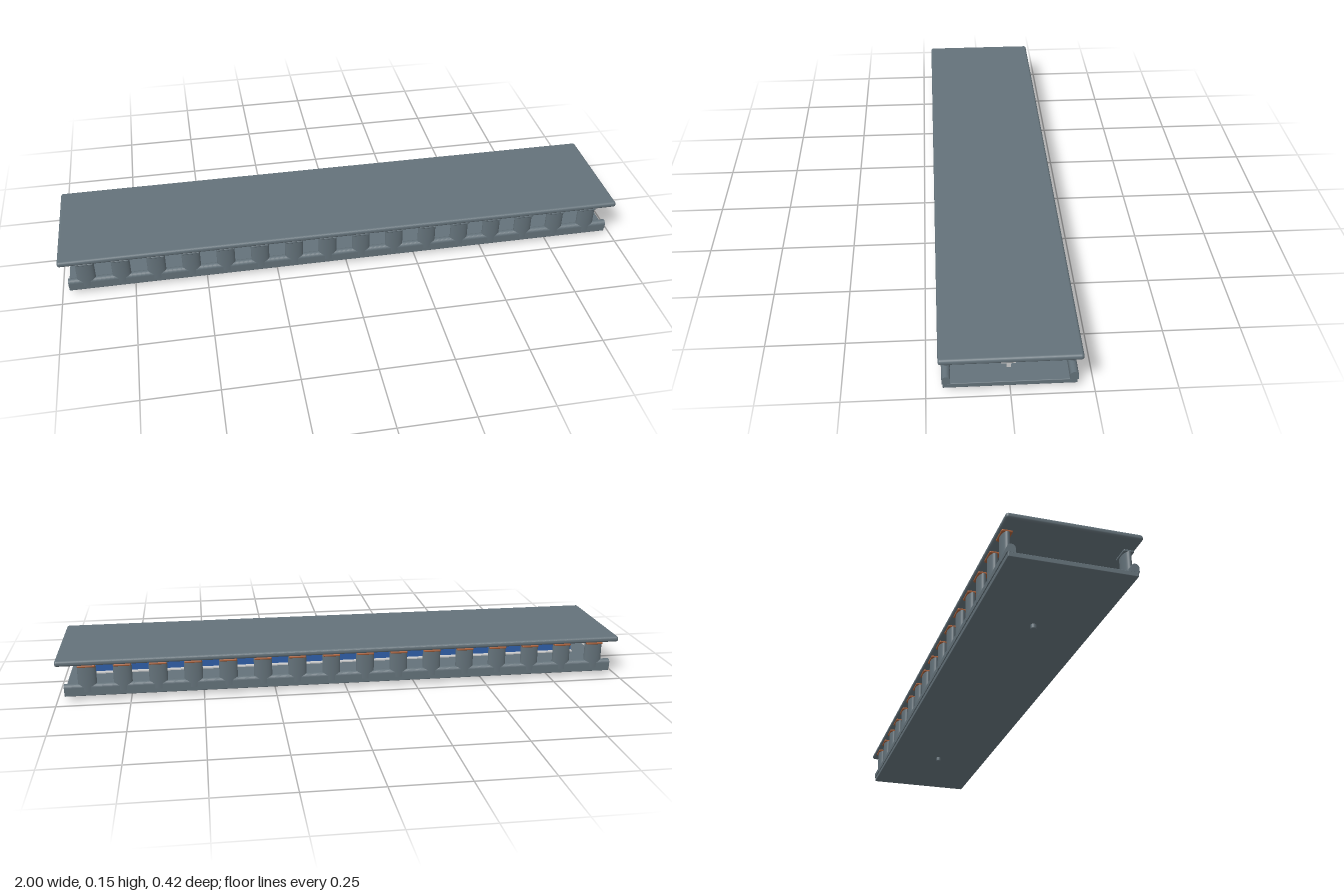
import * as THREE from 'three';
import { RoundedBoxGeometry } from 'three/addons/geometries/RoundedBoxGeometry.js';

const mat = (color) => new THREE.MeshStandardMaterial({ color });

export function createModel() {
  const model = new THREE.Group();
  const slate = mat(0x64727a), grey = mat(0xcccccc), blue = mat(0x2f5fa8), orange = mat(0xa8603a);

  function add(name, geometry, material, x, y, z, parent = model) {
    const mesh = new THREE.Mesh(geometry, material);
    mesh.name = name;
    mesh.position.set(x, y, z);
    parent.add(mesh);
    return mesh;
  }

  // Upper and lower decks
  add('topDeck', new RoundedBoxGeometry(2, 0.02, 0.424, 4, 0.0085), slate, 0, 0.137, 0);
  add('bottomDeck', new RoundedBoxGeometry(1.95, 0.016, 0.4, 2, 0.002), slate, 0, 0.023, 0);

  // Row of oval posts on a rounded rail along each long side
  const postGeo = new THREE.CylinderGeometry(1, 1, 0.09, 32).scale(0.032, 1, 0.014);
  const capGeo = new RoundedBoxGeometry(0.06, 0.008, 0.034, 2, 0.003);
  const railShape = new THREE.Shape();
  railShape.moveTo(-0.013, 0.03);
  railShape.lineTo(0.013, 0.03);
  railShape.lineTo(0.013, 0.046);
  railShape.absarc(0, 0.045, 0.013, 0, Math.PI, false);
  railShape.closePath();
  const railGeo = new THREE.ExtrudeGeometry(railShape, { depth: 1.95, bevelEnabled: false, curveSegments: 12 });
  railGeo.translate(0, 0, -0.975).rotateY(Math.PI / 2);

  for (const side of [1, -1]) {
    const row = new THREE.Group();
    row.name = side > 0 ? 'frontSupports' : 'backSupports';
    row.position.z = side * 0.19;
    model.add(row);
    add('rail', railGeo, slate, 0, 0, 0, row);
    for (let i = 0; i < 16; i++) {
      const x = -0.912 + i * 0.1205;
      add('post', postGeo, slate, x, 0.075, 0, row);
      add('postCap', capGeo, side > 0 ? slate : orange, x, 0.123, 0, row);
    }
  }

  // Centre spine with a flat foot and a pale end piece
  add('spineFoot', new THREE.BoxGeometry(1.8, 0.004, 0.044), grey, 0, 0.033, 0);
  add('spineWeb', new THREE.BoxGeometry(1.8, 0.038, 0.012), blue, 0, 0.053, 0);
  add('spineEnd', new THREE.BoxGeometry(0.02, 0.044, 0.013), grey, 0.905, 0.053, 0);

  // Threaded studs under the lower deck
  const thread = [[0, 0], [0.007, 0]];
  for (let i = 0; i < 4; i++) {
    thread.push([0.0095, 0.002 + i * 0.004], [0.0075, 0.004 + i * 0.004]);
  }
  thread.push([0, 0.016]);
  const studGeo = new THREE.LatheGeometry(thread.map(([r, y]) => new THREE.Vector2(r, y)), 20);
  for (const x of [-0.613, 0.61]) add('stud', studGeo, slate, x, 0, 0);

  return model;
}
